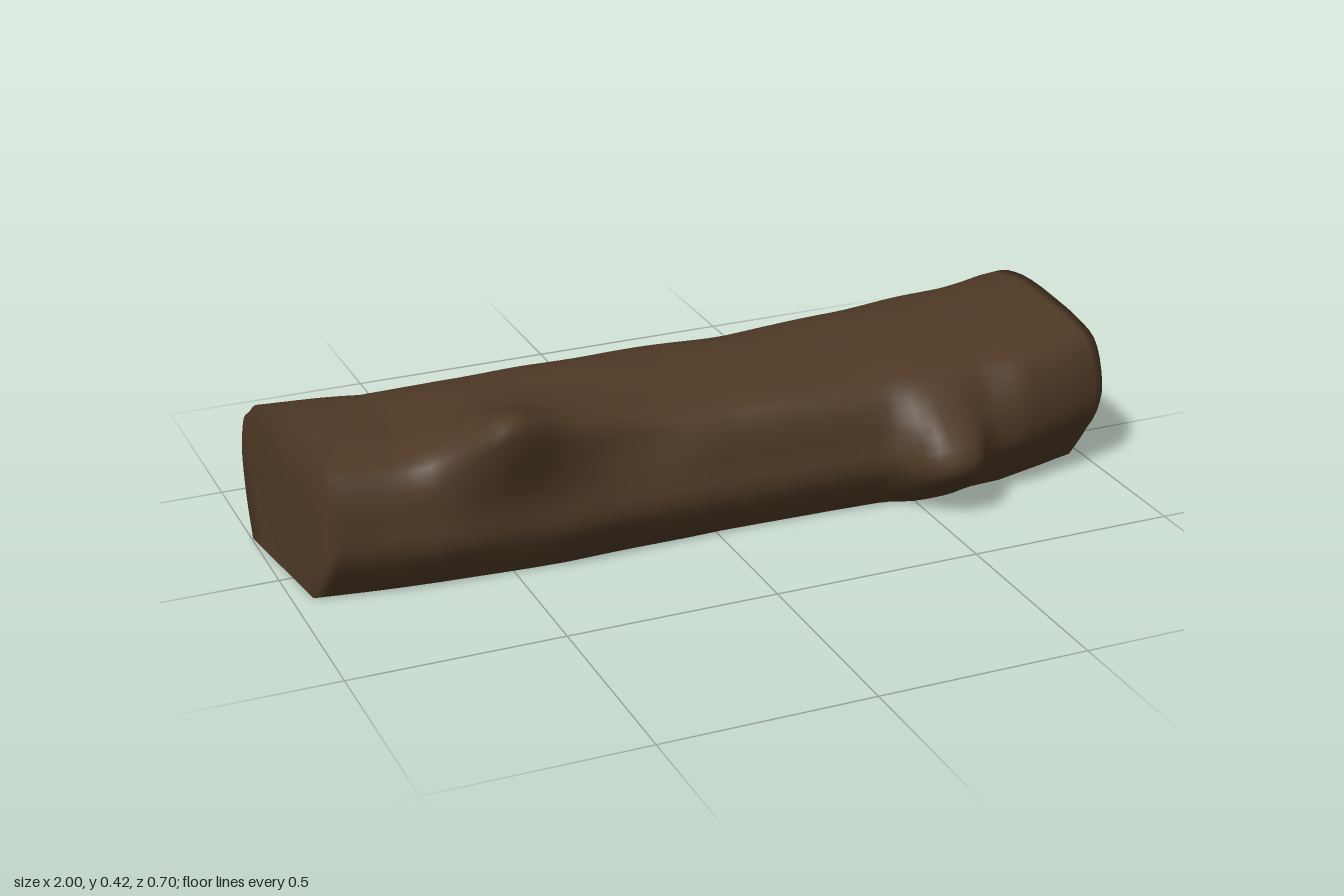
import * as THREE from 'three';

const STATIONS = 72, RING = 48;

// Log outline along its length: [x, value]
const TOP = [[-1, .36], [-.75, .338], [-.55, .35], [-.35, .355], [-.1, .352], [.2, .35], [.6, .365], [1, .385]];
const FRONT = [[-1, .18], [-.7, .2], [-.4, .213], [0, .198], [.3, .213], [.55, .24], [.75, .248], [.9, .22], [1, .19]];
const BACK = [[-1, -.308], [-.65, -.31], [-.5, -.298], [0, -.29], [.25, -.297], [.8, -.318], [.94, -.345], [1, -.345]];

// Cross-section from front bottom, over the top, to back bottom (depth -1..1, height 0..1)
const SECTION = new THREE.CatmullRomCurve3([
  [.68, 0], [.86, .18], [1, .37], [.99, .6], [.86, .82], [.58, .91], [.25, .95], [-.26, 1],
  [-.62, .945], [-.78, .86], [-.94, .77], [-1, .61], [-.985, .42], [-.92, .22], [-.78, 0],
].map(([u, v]) => new THREE.Vector3(u, v, 0)), false, 'centripetal').getPoints(RING);

function sample(table, x) {
  for (let i = 1; i < table.length; i++) {
    const [x0, a] = table[i - 1], [x1, b] = table[i];
    if (x <= x1) return a + (b - a) * Math.max(0, (x - x0) / (x1 - x0));
  }
  return table[table.length - 1][1];
}

const bell = (d, w) => Math.exp(-(d * d) / (w * w));
const plateau = (d, w) => Math.exp(-((d / w) ** 4));

function barkPoint(t, s) {
  const nx = -1 + 2 * t;
  const f = sample(FRONT, nx), b = sample(BACK, nx), h = sample(TOP, nx);
  const y0 = Math.max(0, s.y * h), z0 = (f + b) / 2 + s.x * (f - b) / 2;
  const front = Math.max(0, s.x), back = Math.max(0, -s.x);
  const low = Math.max(0, 1 - y0 / .18);
  let y = y0, z = z0;
  // slanted sawn ends
  const left = -1 + .06 * Math.max(0, (z + .31) / .49) ** 1.4 + .02 * y / .36;
  const right = .94 + .06 * (z + .345) / .54 - .018 * THREE.MathUtils.clamp(2 - y / .1, 0, 1);
  const x = left + (right - left) * t;
  // branch stump rising from the upper front, trailing off along the log
  const d = x + .535;
  const ridge = d < 0 ? bell(d, .11) : .7 * bell(d, .13) + .3 * bell(d, .3);
  const stump = ridge * bell(y0 - .325, .1) * bell(z0 - .19, .15);
  y += .13 * stump;
  z += .125 * stump;
  // low knot on the front, blunt towards the middle of the log
  const along = x < .545 ? plateau(x - .545, .09) : .7 * plateau(x - .545, .085) + .3 * bell(x - .545, .16);
  z += .108 * along * bell(y0 - .15, y0 < .15 ? .14 : .115) * front;
  // fuller foot along the front, tucked in at the back of one end
  z += .055 * plateau(x + .15, .8) * low * front;
  z += .035 * bell(x + 1, .25) * low * back;
  // hollows beside the stump and the knot
  z -= .03 * bell(x + .2, .16) * bell(y0 - .27, .07) * front;
  z -= .02 * bell(x - .66, .08) * bell(y0 - .29, .05) * front;
  // gentle bark undulation
  const wave = .002 * Math.sin(9 * x + 14 * y0 + 11 * z0) + .0015 * Math.sin(17 * x - 30 * z0 + 8 * y0);
  return [x, y + wave * s.y, z + wave * s.x];
}

// Shrink an end row towards the middle of its bottom edge
function shrink(row, k) {
  const a = row[0], b = row[row.length - 1];
  return row.map(p => p.map((v, i) => THREE.MathUtils.lerp((a[i] + b[i]) / 2, v, k)));
}

// Skin a list of equal-length rows of points
function skin(rows) {
  const n = rows[0].length, index = [];
  for (let i = 0; i < rows.length - 1; i++) {
    for (let j = 0; j < n - 1; j++) {
      const a = i * n + j, b = a + n;
      index.push(a, b, b + 1, a, b + 1, a + 1);
    }
  }
  const g = new THREE.BufferGeometry();
  g.setAttribute('position', new THREE.Float32BufferAttribute(rows.flat(2), 3));
  g.setIndex(index);
  g.computeVertexNormals();
  return g;
}

export function createModel() {
  const group = new THREE.Group();
  group.name = 'log';
  // the shell is open underneath, so its inside shows too
  const bark = new THREE.MeshStandardMaterial({ color: 0x4d3824, side: THREE.DoubleSide });
  bark.name = 'barkBrown';

  const rows = [];
  for (let i = 0; i <= STATIONS; i++) rows.push(SECTION.map(s => barkPoint(i / STATIONS, s)));

  // sides and both ends form one softly shaded shell
  const first = rows[0], last = rows[STATIONS];
  const shell = [shrink(first, .001), shrink(first, .6), ...rows, shrink(last, .6), shrink(last, .001)];
  const mesh = new THREE.Mesh(skin(shell), bark);
  mesh.name = 'barkShell';
  group.add(mesh);
  return group;
}
